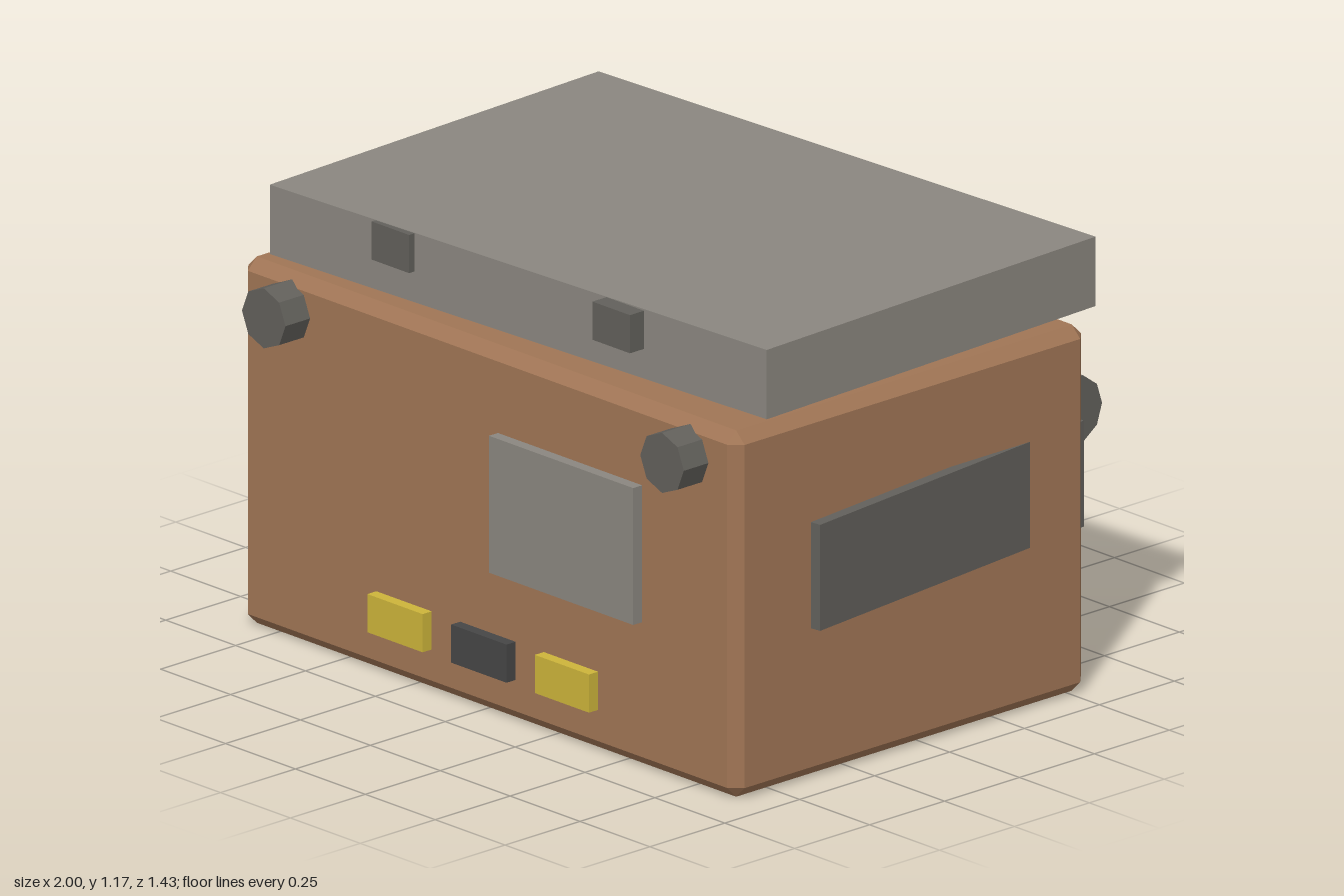
import * as THREE from 'three';
import { ConvexGeometry } from 'three/addons/geometries/ConvexGeometry.js';

const material = (color) => new THREE.MeshStandardMaterial({ color, flatShading: true });
const brown = material(0xa07555);
const grey = material(0x8a867f);
const steel = material(0x62605b);
const charcoal = material(0x464646);
const yellow = material(0xccb43a);

// Box with all twelve edges and eight corners cut by c
function chamferedBox(w, h, d, c) {
  const points = [];
  for (const sx of [-1, 1]) for (const sy of [-1, 1]) for (const sz of [-1, 1]) {
    for (let axis = 0; axis < 3; axis++) {
      const p = [w / 2 - c, h / 2 - c, d / 2 - c];
      p[axis] += c;
      points.push(new THREE.Vector3(sx * p[0], sy * p[1], sz * p[2]));
    }
  }
  return new ConvexGeometry(points);
}

export function createModel() {
  const model = new THREE.Group();
  model.name = 'crate';

  const add = (name, geometry, mat, x, y, z) => {
    const mesh = new THREE.Mesh(geometry, mat);
    mesh.name = name;
    mesh.position.set(x, y, z);
    model.add(mesh);
    return mesh;
  };
  // Box given by its limits on each axis
  const box = (name, mat, [x0, x1], [y0, y1], [z0, z1]) =>
    add(name, new THREE.BoxGeometry(x1 - x0, y1 - y0, z1 - z0), mat,
      (x0 + x1) / 2, (y0 + y1) / 2, (z0 + z1) / 2);

  // Body
  add('body', chamferedBox(1.775, 0.95, 1.18, 0.03), brown, 0.0225, 0.475, 0.04);

  // Slightly twisted lid raised above the body
  add('lid', new THREE.BoxGeometry(1.7, 0.18, 1.145), grey, 0.084, 1.082, 0.036)
    .rotation.y = 0.0436;

  // Clasps on the lid's front edge
  for (const x of [-0.312, 0.478]) {
    box('clasp', steel, [x - 0.067, x + 0.067], [1.072, 1.171], [0.595, 0.642]);
  }

  // Front knobs
  for (const x of [-0.69, 0.735]) {
    const knob = new THREE.CylinderGeometry(0.078, 0.078, 0.11, 8);
    add('knob', knob, steel, x, 0.855, 0.657).rotation.x = Math.PI / 2;
  }

  // Front plate and the row of small labels
  box('frontPlate', grey, [0.06, 0.576], [0.38, 0.735], [0.61, 0.66]);
  box('leftLabel', yellow, [0.224, 0.418], [0.111, 0.21], [0.61, 0.66]);
  box('middleLabel', charcoal, [-0.075, 0.123], [0.111, 0.21], [0.61, 0.66]);
  box('rightLabel', yellow, [-0.375, -0.177], [0.111, 0.21], [0.61, 0.66]);

  // Back bar held by two brackets
  add('backBar', new THREE.CylinderGeometry(0.09, 0.09, 1.54, 10), steel, 0.02, 0.678, -0.615)
    .rotation.z = Math.PI / 2;
  for (const x of [-0.472, 0.517]) {
    box('barBracket', grey, [x - 0.078, x + 0.078], [0.557, 0.794], [-0.715, -0.52]);
  }

  // Tilted side panels
  add('leftPanel', new THREE.BoxGeometry(0.03, 0.275, 0.99), steel, 0.928, 0.557, -0.06)
    .rotation.y = 0.1125;
  add('rightPanel', new THREE.BoxGeometry(0.028, 0.235, 0.868), steel, -0.883, 0.637, -0.2)
    .rotation.y = -0.07;

  // Thin plate standing out from the right side
  box('sideFin', grey, [-1, -0.84], [0.18, 0.535], [0.32, 0.348]);

  return model;
}
